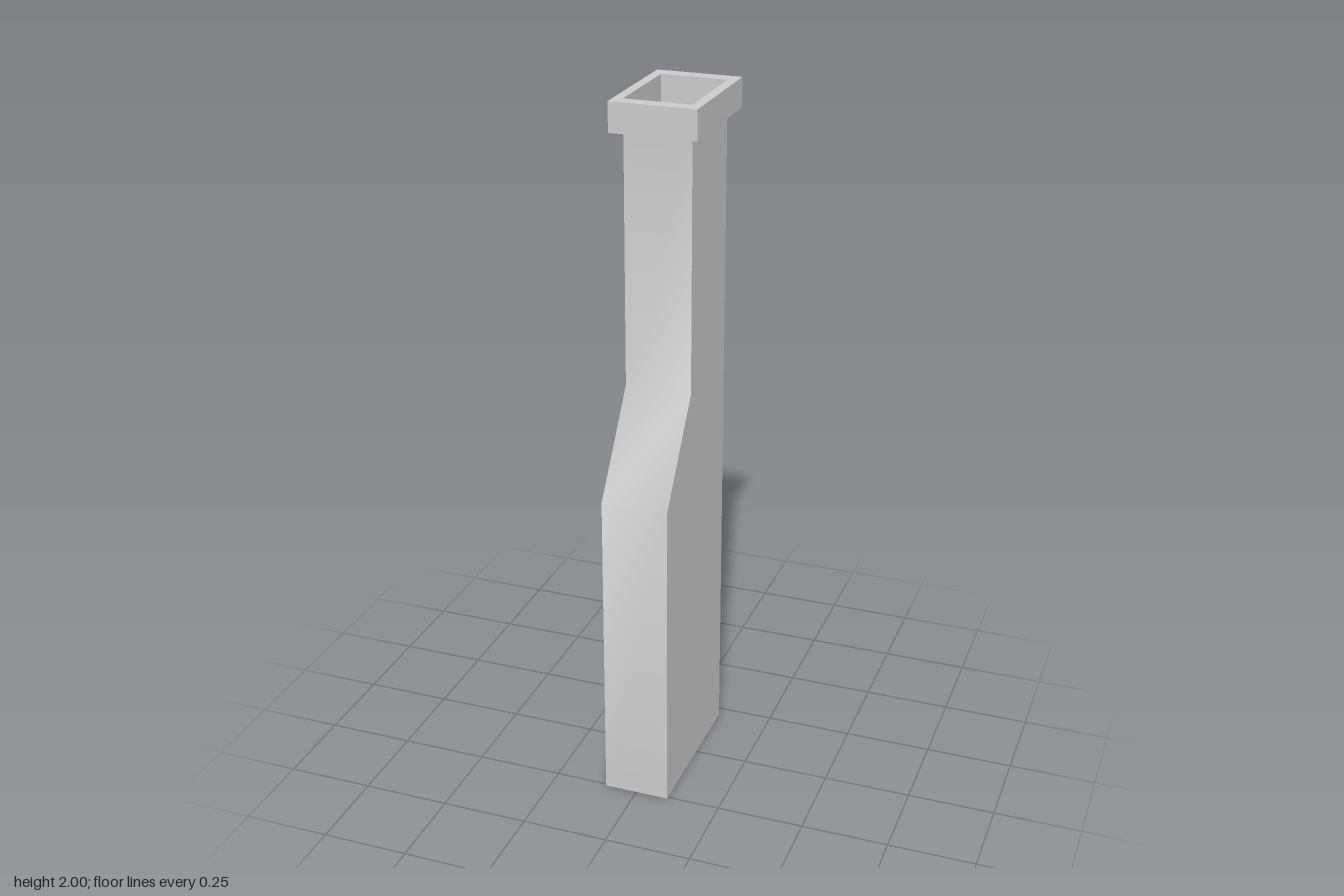
import * as THREE from 'three';
import { toCreasedNormals } from 'three/addons/utils/BufferGeometryUtils.js';

const HALF_WIDTH = 0.095;
const BACK = -0.215, FLUE_FRONT = 0.067, BASE_FRONT = 0.257;
const COLLAR_BOTTOM = 1.917, TOP = 2;

// Rectangle in plan; the second coordinate is -z
function rectPoints(x, zBack, zFront) {
  return [[-x, -zFront], [x, -zFront], [x, -zBack], [-x, -zBack]]
    .map(([a, b]) => new THREE.Vector2(a, b));
}

export function createModel() {
  const group = new THREE.Group();
  group.name = 'chimney';
  const material = new THREE.MeshStandardMaterial({ color: 0xcccccc });

  // Stack: side profile (z, y) with a sloped shoulder at the front, extruded across x
  const profile = new THREE.Shape([
    [BACK, 0], [BASE_FRONT, 0], [BASE_FRONT, 0.925], [FLUE_FRONT, 1.2],
    [FLUE_FRONT, COLLAR_BOTTOM], [BACK, COLLAR_BOTTOM],
  ].map(([z, y]) => new THREE.Vector2(z, y)));
  const stackGeometry = new THREE.ExtrudeGeometry(profile, { depth: HALF_WIDTH * 2, bevelEnabled: false });
  stackGeometry.translate(0, 0, -HALF_WIDTH);
  stackGeometry.rotateY(-Math.PI / 2);
  // The shoulder bends shade smoothly, the square corners stay sharp
  const stack = new THREE.Mesh(toCreasedNormals(stackGeometry, 0.75), material);
  stack.name = 'stack';
  group.add(stack);

  // Collar: open rim around the top, the stack's top forms the floor of the opening
  const rim = new THREE.Shape(rectPoints(0.122, -0.258, 0.107));
  rim.holes.push(new THREE.Path(rectPoints(HALF_WIDTH, BACK, FLUE_FRONT)));
  const collarGeometry = new THREE.ExtrudeGeometry(rim, { depth: TOP - COLLAR_BOTTOM, bevelEnabled: false });
  collarGeometry.rotateX(-Math.PI / 2);
  const collar = new THREE.Mesh(collarGeometry, material);
  collar.name = 'collar';
  collar.position.y = COLLAR_BOTTOM;
  group.add(collar);

  return group;
}
